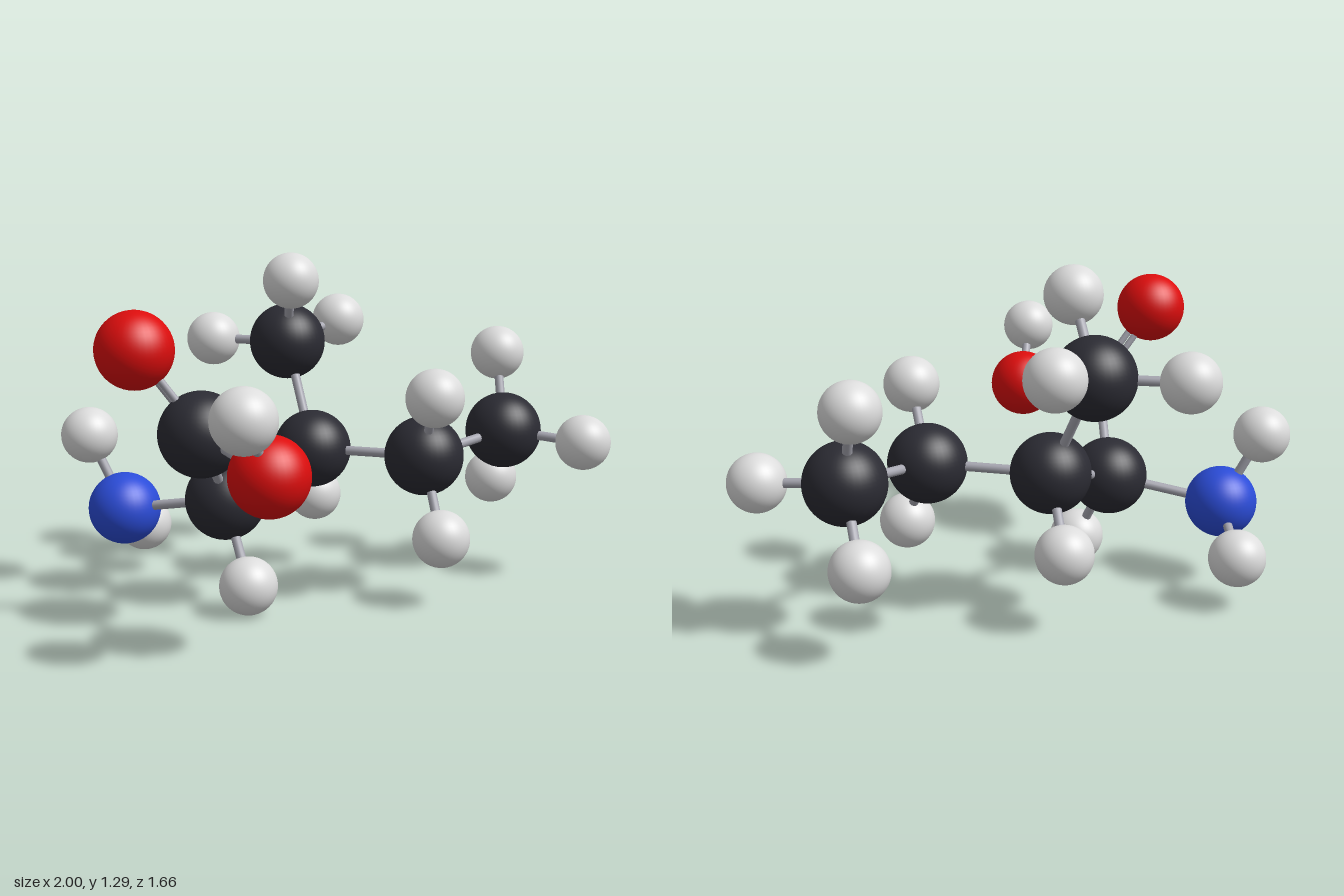
import * as THREE from 'three';

function makeMaterial(name, color) {
  const m = new THREE.MeshStandardMaterial({ color });
  m.name = name;
  return m;
}

export function createModel() {
  const model = new THREE.Group();
  model.name = 'ballAndStickMolecule';

  const bondMaterial = makeMaterial('bondGrey', 0xa6a6b0);
  const kinds = {
    carbon: { radius: 0.15, material: makeMaterial('carbonBlack', 0x2b2b33) },
    oxygen: { radius: 0.136, material: makeMaterial('oxygenRed', 0xdc0d0d) },
    nitrogen: { radius: 0.137, material: makeMaterial('nitrogenBlue', 0x2b4cd8) },
    hydrogen: { radius: 0.107, material: makeMaterial('hydrogenWhite', 0xdcdcdc) },
  };
  for (const k of Object.values(kinds)) k.geometry = new THREE.SphereGeometry(k.radius, 40, 28);

  // Atoms: name, kind, centre
  const atoms = {};
  [
    ['acidCarbon', 'carbon', -0.665, 0.71, 0.183],
    ['acidOxygen', 'oxygen', -0.867, 1.0, 0.098],
    ['hydroxylOxygen', 'oxygen', -0.579, 0.63, 0.575],
    ['hydroxylHydrogen', 'hydrogen', -0.722, 0.843, 0.72],
    ['alphaCarbon', 'carbon', -0.472, 0.404, -0.104],
    ['alphaHydrogen', 'hydrogen', -0.45, 0.112, 0.057],
    ['amineNitrogen', 'nitrogen', -0.756, 0.329, -0.442],
    ['amineHydrogenUpper', 'hydrogen', -0.857, 0.605, -0.543],
    ['amineHydrogenLower', 'hydrogen', -0.606, 0.2, -0.676],
    ['betaCarbon', 'carbon', -0.05, 0.534, -0.255],
    ['betaHydrogen', 'hydrogen', 0.053, 0.302, -0.461],
    ['methylCarbon', 'carbon', -0.054, 0.933, -0.482],
    ['methylHydrogenTop', 'hydrogen', -0.125, 1.188, -0.28],
    ['methylHydrogenBack', 'hydrogen', -0.278, 0.931, -0.724],
    ['methylHydrogenSide', 'hydrogen', 0.236, 0.996, -0.617],
    ['gammaCarbon', 'carbon', 0.252, 0.541, 0.099],
    ['gammaHydrogenUpper', 'hydrogen', 0.18, 0.793, 0.305],
    ['gammaHydrogenLower', 'hydrogen', 0.228, 0.261, 0.277],
    ['endCarbon', 'carbon', 0.688, 0.584, -0.034],
    ['endHydrogenTop', 'hydrogen', 0.743, 0.878, -0.175],
    ['endHydrogenLower', 'hydrogen', 0.768, 0.346, -0.247],
    ['endHydrogenFront', 'hydrogen', 0.892, 0.559, 0.224],
  ].forEach(([name, kind, x, y, z]) => {
    const mesh = new THREE.Mesh(kinds[kind].geometry, kinds[kind].material);
    mesh.name = name;
    mesh.position.set(x, y, z);
    atoms[name] = mesh.position;
    model.add(mesh);
  });

  // A rod joining two atom centres, optionally shifted sideways
  const up = new THREE.Vector3(0, 1, 0);
  function addBond(from, to, radius = 0.018, shift = new THREE.Vector3()) {
    const a = atoms[from], b = atoms[to];
    const along = b.clone().sub(a);
    const rod = new THREE.Mesh(
      new THREE.CylinderGeometry(radius, radius, along.length(), 16), bondMaterial);
    rod.name = from + 'Bond';
    rod.position.copy(a).add(b).multiplyScalar(0.5).add(shift);
    rod.quaternion.setFromUnitVectors(up, along.normalize());
    model.add(rod);
  }

  // Single bonds
  const single = {
    acidCarbon: ['hydroxylOxygen', 'alphaCarbon'],
    hydroxylOxygen: ['hydroxylHydrogen'],
    alphaCarbon: ['alphaHydrogen', 'amineNitrogen', 'betaCarbon'],
    amineNitrogen: ['amineHydrogenUpper', 'amineHydrogenLower'],
    betaCarbon: ['betaHydrogen', 'methylCarbon', 'gammaCarbon'],
    methylCarbon: ['methylHydrogenTop', 'methylHydrogenBack', 'methylHydrogenSide'],
    gammaCarbon: ['gammaHydrogenUpper', 'gammaHydrogenLower', 'endCarbon'],
    endCarbon: ['endHydrogenTop', 'endHydrogenLower', 'endHydrogenFront'],
  };
  for (const [from, list] of Object.entries(single)) list.forEach((to) => addBond(from, to));

  // Double bond: two thinner rods side by side in the plane of the acid group
  const axis = atoms.acidOxygen.clone().sub(atoms.acidCarbon).normalize();
  const side = atoms.hydroxylOxygen.clone().sub(atoms.acidCarbon);
  side.addScaledVector(axis, -side.dot(axis)).normalize();
  for (const s of [-1, 1]) {
    addBond('acidCarbon', 'acidOxygen', 0.013, side.clone().multiplyScalar(s * 0.02));
  }

  return model;
}
